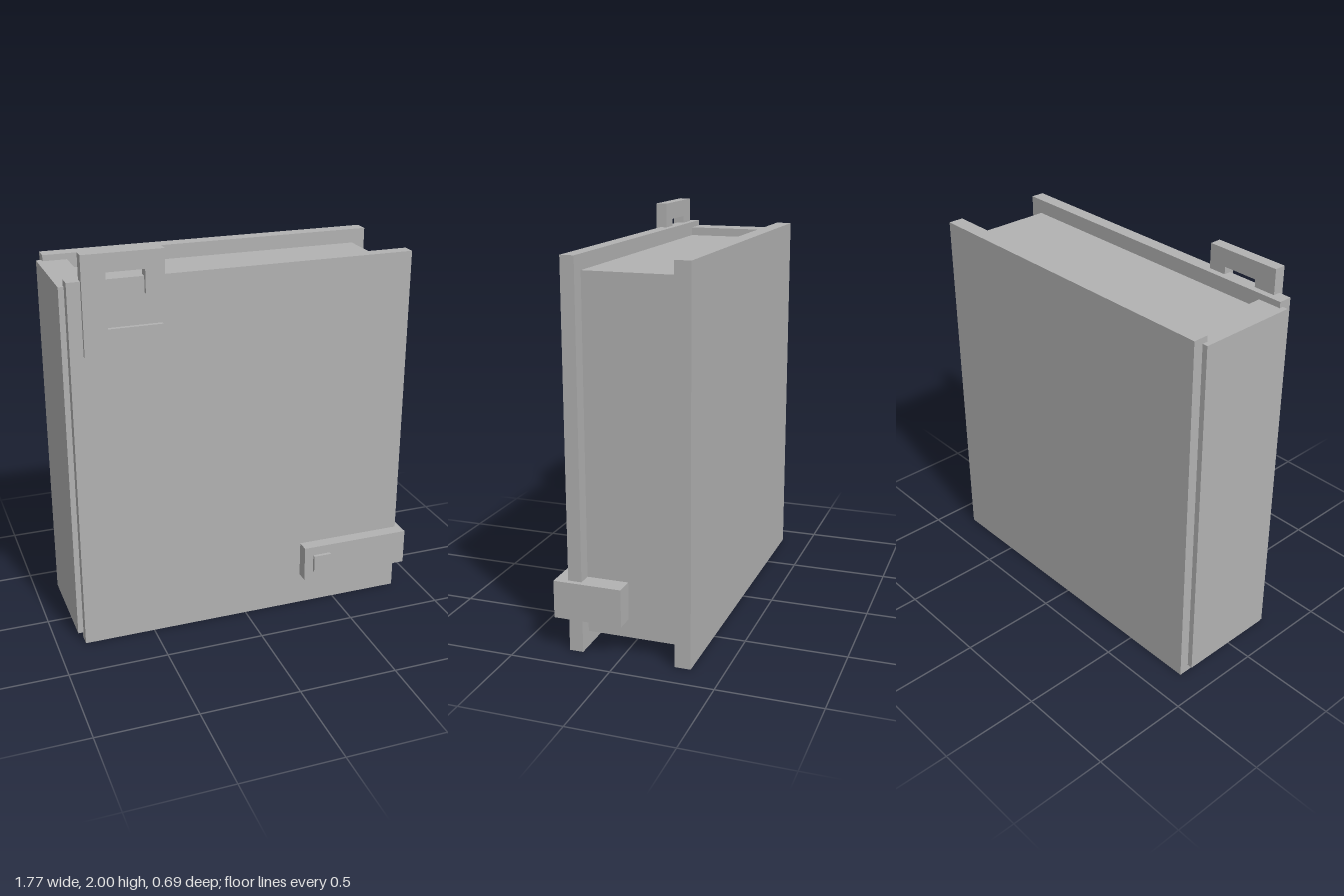
import * as THREE from 'three';

export function createModel() {
  const model = new THREE.Group();
  model.name = 'claspedBook';
  const grey = new THREE.MeshStandardMaterial({ color: 0xb2b2b2 });
  grey.name = 'plain grey';

  const add = (name, geometry) => {
    const mesh = new THREE.Mesh(geometry, grey);
    mesh.name = name;
    model.add(mesh);
    return mesh;
  };

  // Box given by its [min, max] along each axis
  const block = (name, [x0, x1], [y0, y1], [z0, z1]) =>
    add(name, new THREE.BoxGeometry(x1 - x0, y1 - y0, z1 - z0))
      .position.set((x0 + x1) / 2, (y0 + y1) / 2, (z0 + z1) / 2);

  // Plate with the given outline, thickened along z
  const plate = (name, points, z0, z1) => {
    const shape = new THREE.Shape(points.map(([x, y]) => new THREE.Vector2(x, y)));
    const geometry = new THREE.ExtrudeGeometry(shape, { depth: z1 - z0, bevelEnabled: false });
    add(name, geometry).position.z = z0;
    return geometry;
  };

  // Covers, page block and spine
  block('frontCover', [-0.86, 0.86], [0, 1.875], [0.194, 0.262]);
  block('backCover', [-0.86, 0.86], [0, 1.875], [-0.343, -0.265]);
  block('pages', [-0.75, 0.79], [0.077, 1.802], [-0.27, 0.2]);
  block('spine', [-0.887, -0.74], [0.035, 1.845], [-0.293, 0.214]);

  // Strap wrapping round the front cover's open edge, with a stud
  const strap = plate('claspStrap', [
    [0.306, -0.326], [0.886, -0.326], [0.886, 0.012],
    [0.79, 0.012], [0.79, -0.25], [0.306, -0.25],
  ], 0.17, 0.355);
  strap.rotateX(-Math.PI / 2);
  model.getObjectByName('claspStrap').position.set(0, 0.17, 0);
  block('claspStud', [0.354, 0.447], [0.215, 0.308], [0.32, 0.343]);

  // Hooked clip over the top corner of the front cover
  plate('cornerClip', [
    [-0.796, 1.522], [-0.418, 1.522], [-0.418, 1.647], [-0.683, 1.647],
    [-0.683, 1.912], [-0.5, 1.912], [-0.5, 1.797], [-0.407, 1.797],
    [-0.407, 2], [-0.796, 2],
  ], 0.226, 0.283);

  return model;
}
